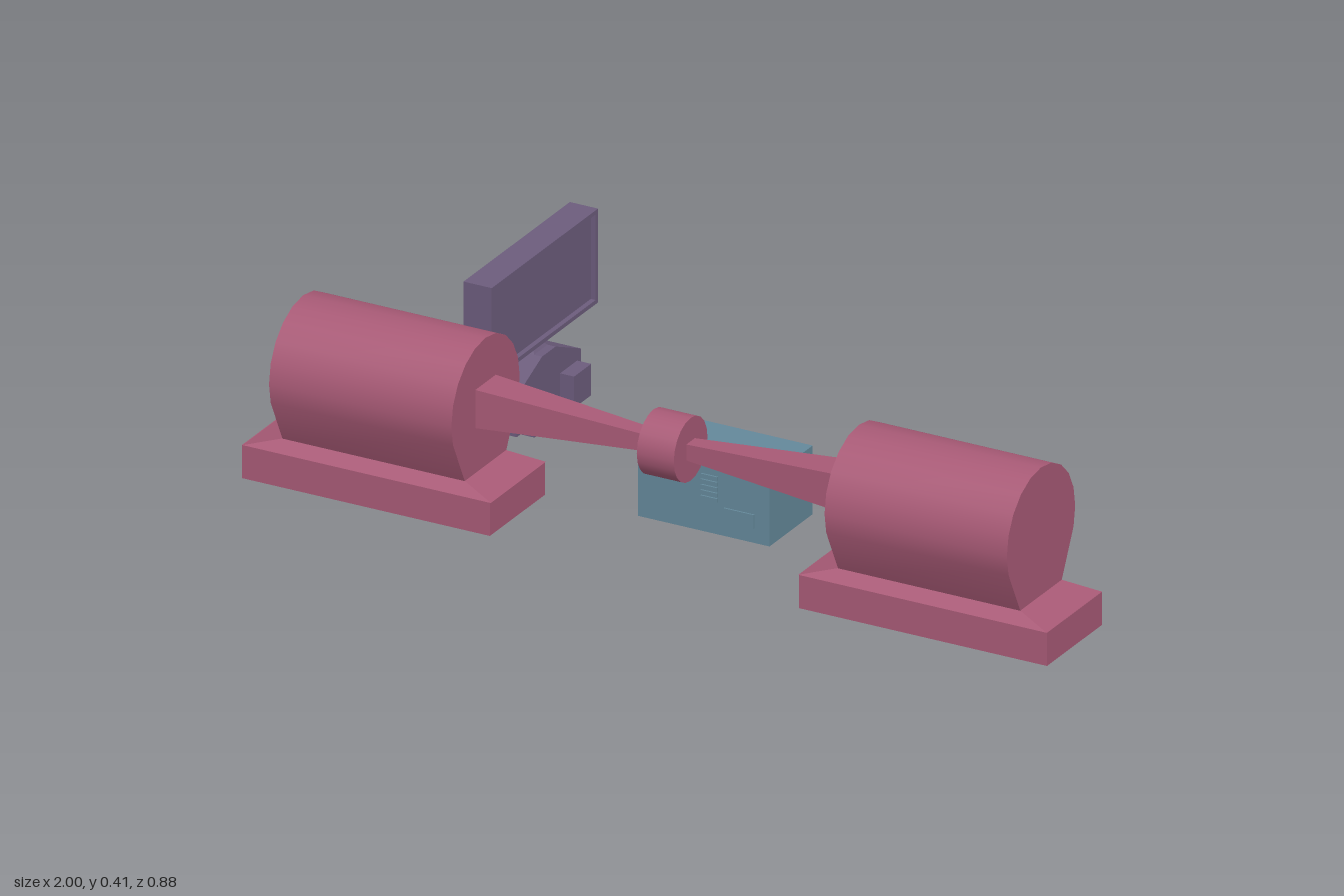
import * as THREE from 'three';
import { toCreasedNormals } from 'three/addons/utils/BufferGeometryUtils.js';

const paint = (color) => new THREE.MeshStandardMaterial({ color, roughness: 0.8 });
const rose = paint(0xa85a76), teal = paint(0x64889a), violet = paint(0x6c5c7c);

function add(parent, name, geometry, material, x = 0, y = 0, z = 0) {
  const mesh = new THREE.Mesh(geometry, material);
  mesh.name = name;
  mesh.position.set(x, y, z);
  parent.add(mesh);
  return mesh;
}

// box given by its min and max corners
function block(parent, name, material, x0, x1, y0, y1, z0, z1) {
  return add(parent, name, new THREE.BoxGeometry(x1 - x0, y1 - y0, z1 - z0), material,
    (x0 + x1) / 2, (y0 + y1) / 2, (z0 + z1) / 2);
}

// box whose top is a different size from its bottom, standing on y = 0
function taper(w0, d0, w1, d1, h) {
  const g = new THREE.BoxGeometry(1, h, 1).translate(0, h / 2, 0);
  const p = g.attributes.position;
  for (let i = 0; i < p.count; i++) {
    const top = p.getY(i) > h / 2;
    p.setX(i, p.getX(i) * (top ? w1 : w0));
    p.setZ(i, p.getZ(i) * (top ? d1 : d0));
  }
  g.computeVertexNormals();
  return g;
}

// outline in (z, y), extruded along x and centred on x = 0
function extrudeX(points, width) {
  const shape = new THREE.Shape(points.map(([z, y]) => new THREE.Vector2(-z, y)));
  return new THREE.ExtrudeGeometry(shape, { depth: width, bevelEnabled: false })
    .translate(0, 0, -width / 2).rotateY(Math.PI / 2);
}

function createMachine() {
  const g = new THREE.Group();
  g.name = 'coupledMachines';
  const cy = 0.254, cz = 0.287, r = 0.152;

  // drum outline: 20-sided round running down into a narrow neck
  const outline = [[-0.092, 0.1]];
  for (let i = -6; i <= 6; i++) {
    const a = (i * Math.PI) / 10;
    outline.push([r * Math.sin(a), cy + r * Math.cos(a)]);
  }
  outline.push([0.092, 0.1]);
  const drum = toCreasedNormals(extrudeX(outline, 0.453), 0.6);

  for (const [side, s] of [['left', 1], ['right', -1]]) {
    block(g, side + 'Base', rose, s * 0.692 - 0.308, s * 0.692 + 0.308, 0, 0.079, 0.165, 0.41);
    add(g, side + 'BaseFlare', taper(0.616, 0.245, 0.453, 0.184, 0.022), rose, s * 0.69, 0.079, cz);
    add(g, side + 'Drum', drum, rose, s * 0.69, 0, cz);
    const shaft = add(g, side + 'Shaft', taper(0.092, 0.092, 0.036, 0.036, 0.44), rose, s * 0.47, cy, cz);
    shaft.rotation.z = (s * Math.PI) / 2;
  }

  // coupling between the shafts
  const hub = new THREE.CylinderGeometry(0.075, 0.075, 0.092, 20).rotateZ(Math.PI / 2);
  add(g, 'coupling', hub, rose, 0, cy, cz);
  return g;
}

function createCase() {
  const g = new THREE.Group();
  g.name = 'controlBox';
  block(g, 'boxBody', teal, -0.155, 0.172, 0, 0.164, -0.03, 0.162);
  block(g, 'topSeam', teal, -0.155, 0.172, 0.164, 0.166, 0.065, 0.069);

  // raised details repeated on the front and back
  for (const [side, z, t] of [['front', 0.162, 0.004], ['back', -0.03, -0.005]]) {
    const raised = (name, x0, x1, y0, y1) =>
      block(g, side + name, teal, x0, x1, y0, y1, Math.min(z, z + t), Math.max(z, z + t));
    for (let i = 0; i < 5; i++) raised('Slat', 0.003, 0.044, 0.077 + i * 0.013, 0.086 + i * 0.013);
    raised('Plate', 0.06, 0.135, 0.035, 0.068);
    if (side === 'back') {
      for (let i = 0; i < 3; i++) raised('Vent', -0.085, -0.05, 0.05 + i * 0.011, 0.057 + i * 0.011);
      raised('Ledge', 0.03, 0.135, 0.128, 0.132);
    }
  }
  return g;
}

function createDisplay() {
  const g = new THREE.Group();
  g.name = 'displayPanel';
  const x = -0.625, z = -0.203;

  // panel with a shallow recessed screen facing +x
  block(g, 'panelBack', violet, -0.66, -0.602, 0.17, 0.394, -0.44, 0.033);
  const rect = (P, w, h) => new P([[-w, -h], [w, -h], [w, h], [-w, h]].map(([a, b]) => new THREE.Vector2(a, b)));
  const frame = rect(THREE.Shape, 0.2365, 0.112);
  frame.holes.push(rect(THREE.Path, 0.226, 0.102));
  const rim = new THREE.ExtrudeGeometry(frame, { depth: 0.012, bevelEnabled: false }).rotateY(Math.PI / 2);
  add(g, 'panelRim', rim, violet, -0.602, 0.282, -0.2035);

  // gabled stand and its neck
  const stand = extrudeX([[-0.143, 0.003], [-0.143, 0.1], [-0.03, 0.15], [0.03, 0.15], [0.143, 0.1], [0.143, 0.003]], 0.09);
  add(g, 'stand', stand, violet, x, 0, z);
  add(g, 'standNeck', taper(0.05, 0.06, 0.03, 0.034, 0.014), violet, x, 0.15, z);
  add(g, 'pivot', new THREE.CylinderGeometry(0.014, 0.014, 0.012, 12), violet, x, 0.168, z);
  for (const s of [-1, 1]) {
    const fz = z + s * 0.088;
    block(g, 'foot', violet, x + 0.04, -0.545, 0.003, 0.078, fz - 0.038, fz + 0.038);
  }
  return g;
}

export function createModel() {
  const model = new THREE.Group();
  model.name = 'machineRoom';
  model.add(createMachine(), createCase(), createDisplay());
  return model;
}
